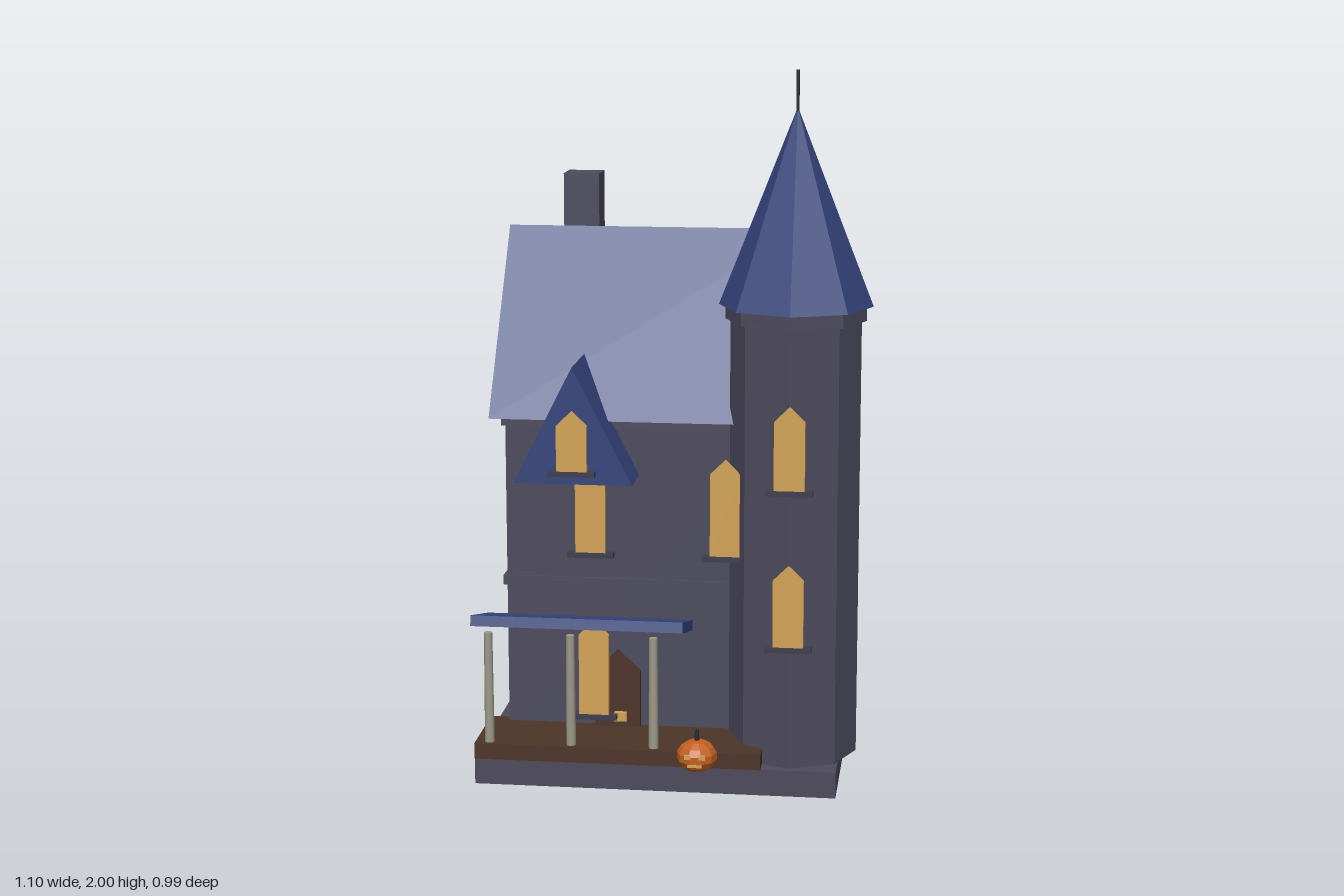
import * as THREE from 'three';

const mat = (name, color, flatShading = false) => {
  const m = new THREE.MeshStandardMaterial({ color, flatShading });
  m.name = name;
  return m;
};

export function createModel() {
  const stone = mat('stone', 0x4c4a5c);
  const slate = mat('blueRoof', 0x34447c, true);
  const trim = mat('trim', 0x3c3c4e);
  const glow = mat('windowGlow', 0xd2a255);
  const wood = mat('wood', 0x4c3428);
  const post = mat('paleWood', 0x9c9a88);
  const orange = mat('pumpkinOrange', 0xc2601c, true);
  const dark = mat('darkIron', 0x26262e);
  const flatStone = mat('towerStone', 0x4c4a5c, true);

  const model = new THREE.Group();
  model.name = 'house';
  const add = (name, geo, material, x = 0, y = 0, z = 0, parent = model) => {
    const mesh = new THREE.Mesh(geo, material);
    mesh.name = name;
    mesh.position.set(x, y, z);
    parent.add(mesh);
    return mesh;
  };
  // Box from its lower and upper limits on each axis
  const box = (name, material, x0, x1, y0, y1, z0, z1) =>
    add(name, new THREE.BoxGeometry(x1 - x0, y1 - y0, z1 - z0), material,
      (x0 + x1) / 2, (y0 + y1) / 2, (z0 + z1) / 2);
  const extrude = (points, depth) => new THREE.ExtrudeGeometry(
    new THREE.Shape(points.map(p => new THREE.Vector2(...p))), { depth, bevelEnabled: false });
  const triangle = (w, h, depth) => extrude([[-w / 2, 0], [w / 2, 0], [0, h]], depth);
  // Upright panel with a pointed head
  const pointed = (w, h, head, depth) => extrude(
    [[-w / 2, 0], [w / 2, 0], [w / 2, h - head], [0, h], [-w / 2, h - head]], depth);

  // Foundation, walls and string courses
  box('foundation', stone, -0.55, 0.47, 0, 0.075, -0.5, 0.39);
  box('walls', stone, -0.49, 0.28, 0.075, 1.02, -0.46, 0.18);
  for (const [y0, y1] of [[0.53, 0.557], [0.995, 1.02]])
    box('wallBand', stone, -0.5, 0.29, y0, y1, -0.467, 0.19);

  // Main gable roof, ridge along x
  const roof = triangle(0.72, 0.505, 0.85);
  roof.rotateY(Math.PI / 2);
  add('mainRoof', roof, slate, -0.53, 1.02, -0.14);
  box('chimney', stone, -0.39, -0.285, 1.05, 1.665, -0.36, -0.255);

  // Dormer
  add('dormer', triangle(0.335, 0.33, 0.25), slate, -0.275, 0.86, 0.07);

  // Octagonal corner tower
  const tower = new THREE.Group();
  tower.name = 'tower';
  tower.position.set(0.333, 0, 0.19);
  model.add(tower);
  add('towerWall', new THREE.CylinderGeometry(0.182, 0.182, 1.24, 8), flatStone, 0, 0.695, 0, tower);
  add('towerCornice', new THREE.CylinderGeometry(0.196, 0.196, 0.04, 8), flatStone, 0, 1.335, 0, tower);
  add('towerRoof', new THREE.ConeGeometry(0.214, 0.545, 8), slate, 0, 1.6275, 0, tower);
  add('finial', new THREE.CylinderGeometry(0.005, 0.005, 0.12, 6), dark, 0, 1.94, 0, tower);

  // Glowing windows with sills: centre x, bottom y, height, centre z
  for (const [x, y, h, z] of [
    [0.333, 0.43, 0.23, 0.378], [0.333, 0.873, 0.232, 0.378],
    [0.147, 0.655, 0.275, 0.271], [-0.233, 0.655, 0.275, 0.271],
    [-0.226, 0.18, 0.275, 0.271], [-0.275, 0.9, 0.17, 0.331],
  ]) {
    const win = new THREE.Group();
    win.name = 'window';
    win.position.set(x, y, z);
    model.add(win);
    add('windowPane', pointed(0.085, h, 0.042, 0.017), glow, 0, 0, -0.0085, win);
    add('windowSill', new THREE.BoxGeometry(0.13, 0.014, 0.03), trim, 0, -0.007, 0, win);
  }

  // Door with a brass plate
  add('door', pointed(0.13, 0.225, 0.06, 0.02), wood, -0.17, 0.12, 0.18);
  box('doorLight', glow, -0.17, -0.135, 0.157, 0.183, 0.25, 0.265);

  // Porch: deck, upswept canopy and posts
  box('porchDeck', wood, -0.55, 0.26, 0.075, 0.12, 0.15, 0.395);
  add('porchRoof', new THREE.BoxGeometry(0.595, 0.03, 0.25), slate, -0.2525, 0.455, 0.296)
    .rotation.x = -0.25;
  for (const x of [-0.51, -0.277, -0.043])
    add('porchPost', new THREE.CylinderGeometry(0.012, 0.014, 0.32, 8), post, x, 0.28, 0.37);

  // Carved pumpkin
  const pumpkin = new THREE.Group();
  pumpkin.name = 'pumpkin';
  pumpkin.position.set(0.087, 0.126, 0.434);
  model.add(pumpkin);
  add('pumpkinBody', new THREE.SphereGeometry(0.057, 10, 7), orange, 0, 0, 0, pumpkin)
    .scale.y = 0.8;
  add('pumpkinStem', new THREE.CylinderGeometry(0.006, 0.008, 0.035, 6), dark, 0, 0.056, 0, pumpkin);
  for (const s of [-1, 1])
    add('pumpkinEye', new THREE.BoxGeometry(0.018, 0.012, 0.009), glow, s * 0.02, 0.012, 0.056, pumpkin);
  add('pumpkinMouth', new THREE.BoxGeometry(0.04, 0.007, 0.009), glow, 0, -0.014, 0.053, pumpkin);

  return model;
}
